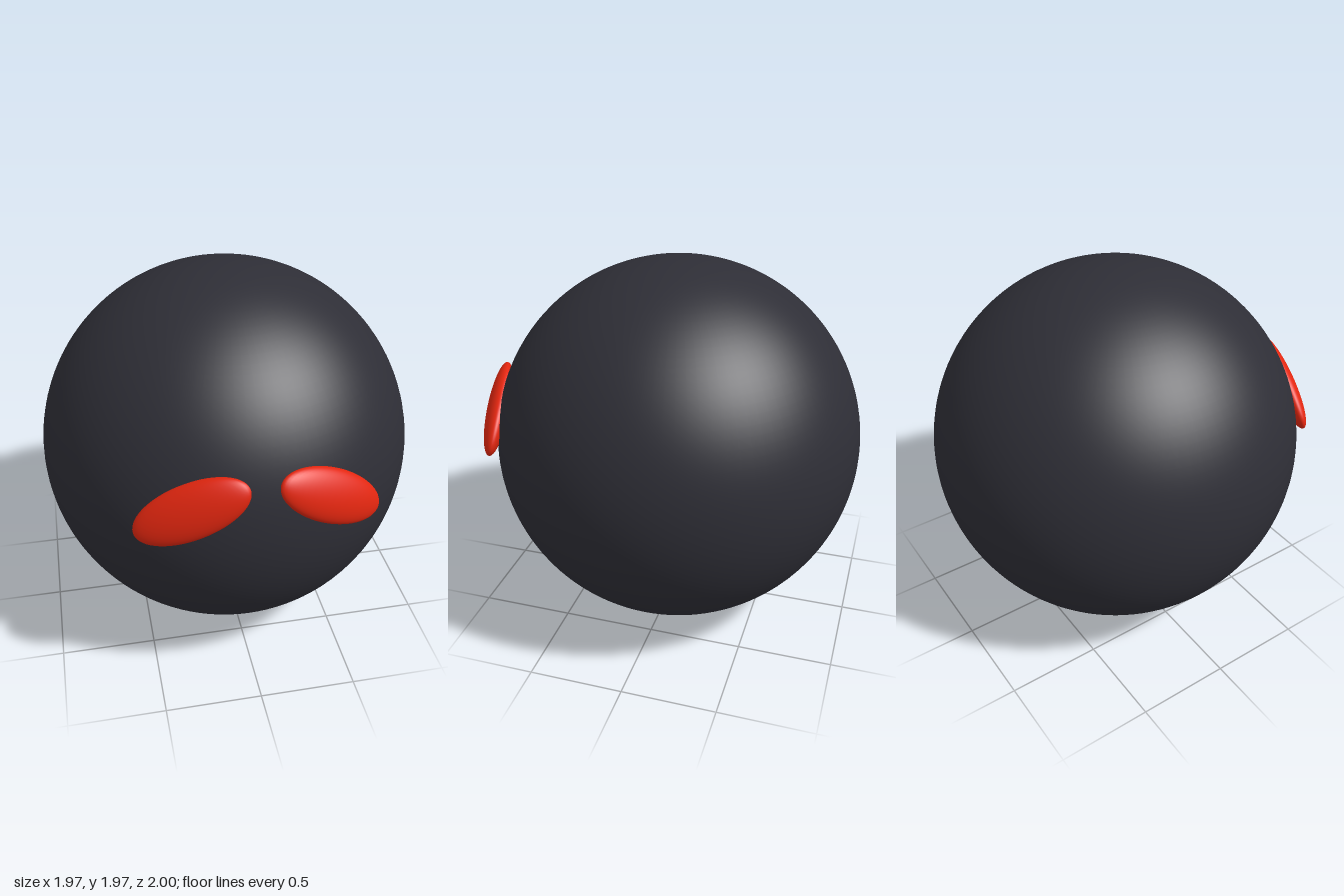
import * as THREE from 'three';

export function createModel() {
  const model = new THREE.Group();
  const charcoal = new THREE.MeshStandardMaterial({ color: 0x2e2e36 });
  charcoal.name = 'charcoal';
  const red = new THREE.MeshStandardMaterial({ color: 0xe2260f });
  red.name = 'red';

  // Round body
  const body = new THREE.Mesh(new THREE.SphereGeometry(0.985, 96, 64), charcoal);
  body.name = 'body';
  body.position.set(0, 0.985, -0.015);
  model.add(body);

  // Slanted, flattened eyes lying against the body, mirrored left and right
  const eyeGeometry = new THREE.SphereGeometry(1, 48, 32);
  for (const side of [1, -1]) {
    const along = new THREE.Vector3(side * 0.863, -0.46, -0.21).normalize();
    const outward = new THREE.Vector3(side * 0.376, 0.304, 0.875).normalize();
    const across = outward.clone().cross(along).normalize();
    outward.crossVectors(along, across);

    const eye = new THREE.Mesh(eyeGeometry, red);
    eye.name = side > 0 ? 'leftEye' : 'rightEye';
    eye.quaternion.setFromRotationMatrix(new THREE.Matrix4().makeBasis(along, across, outward));
    eye.scale.set(0.302, 0.132, 0.059);
    eye.position.set(side * 0.332, 1.177, 0.9);
    model.add(eye);
  }
  return model;
}
